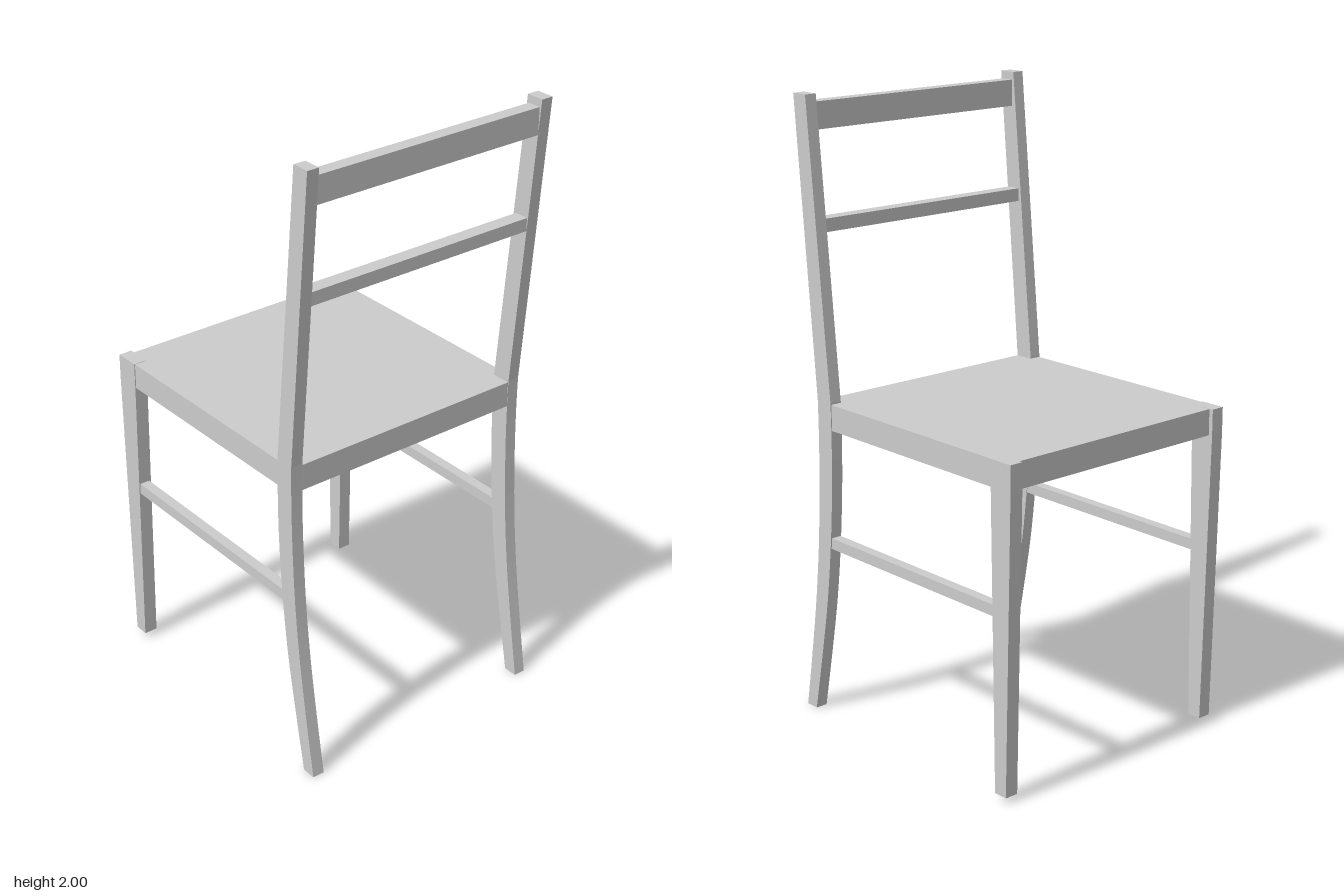
import * as THREE from 'three';

const material = new THREE.MeshStandardMaterial({ color: 0xcccccc, flatShading: true });

// Box given by its bounds; x runs from the seat front to the back, z across
function bar(name, [x0, x1], [y0, y1], [z0, z1]) {
  const mesh = new THREE.Mesh(new THREE.BoxGeometry(x1 - x0, y1 - y0, z1 - z0), material);
  mesh.position.set((x0 + x1) / 2, (y0 + y1) / 2, (z0 + z1) / 2);
  mesh.name = name;
  return mesh;
}

// Side profile extruded across the chair, starting at z
function plank(name, shape, z, depth) {
  const geometry = new THREE.ExtrudeGeometry(shape, { depth, bevelEnabled: false });
  geometry.translate(0, 0, z);
  const mesh = new THREE.Mesh(geometry, material);
  mesh.name = name;
  return mesh;
}

const curve = (points) =>
  new THREE.SplineCurve(points.map(([x, y]) => new THREE.Vector2(x, y))).getPoints(24);

// Back post: leg sweeping backwards below the seat, straight raked upright above
function postShape() {
  const front = curve([[0.444, 0], [0.404, 0.2], [0.368, 0.4], [0.344, 0.6], [0.33, 0.8], [0.327, 0.95], [0.328, 1.06]]);
  const back = curve([[0.491, 0], [0.457, 0.2], [0.427, 0.4], [0.406, 0.6], [0.395, 0.8], [0.392, 0.95], [0.393, 1.06]]);
  return new THREE.Shape([
    ...back,
    new THREE.Vector2(0.474, 2),
    new THREE.Vector2(0.415, 2),
    ...front.reverse(),
  ]);
}

// Front leg: full width at the seat, tapering to the foot
function frontLegShape() {
  return new THREE.Shape([
    [-0.48, 0.02], [-0.432, 0.02], [-0.416, 0.97], [-0.416, 1.055], [-0.5, 1.055], [-0.5, 0.97],
  ].map(([x, y]) => new THREE.Vector2(x, y)));
}

export function createModel() {
  const group = new THREE.Group();
  group.name = 'chair';

  // Seat and back rails
  group.add(
    bar('seat', [-0.486, 0.391], [0.97, 1.054], [-0.437, 0.437]),
    bar('topRail', [0.421, 0.465], [1.89, 1.975], [-0.41, 0.41]),
    bar('middleRail', [0.39, 0.437], [1.58, 1.622], [-0.41, 0.41]),
  );

  // Legs, posts and side stretchers on both sides
  for (const side of [1, -1]) {
    const label = side > 0 ? 'A' : 'B';
    group.add(
      plank('backPost' + label, postShape(), side > 0 ? 0.4 : -0.44, 0.04),
      plank('frontLeg' + label, frontLegShape(), side > 0 ? 0.395 : -0.44, 0.045),
      bar('sideStretcher' + label, [-0.44, 0.37], [0.577, 0.613], side > 0 ? [0.402, 0.436] : [-0.436, -0.402]),
    );
  }

  // The whole chair stands slightly turned
  group.rotation.y = THREE.MathUtils.degToRad(-8.1);
  return group;
}
